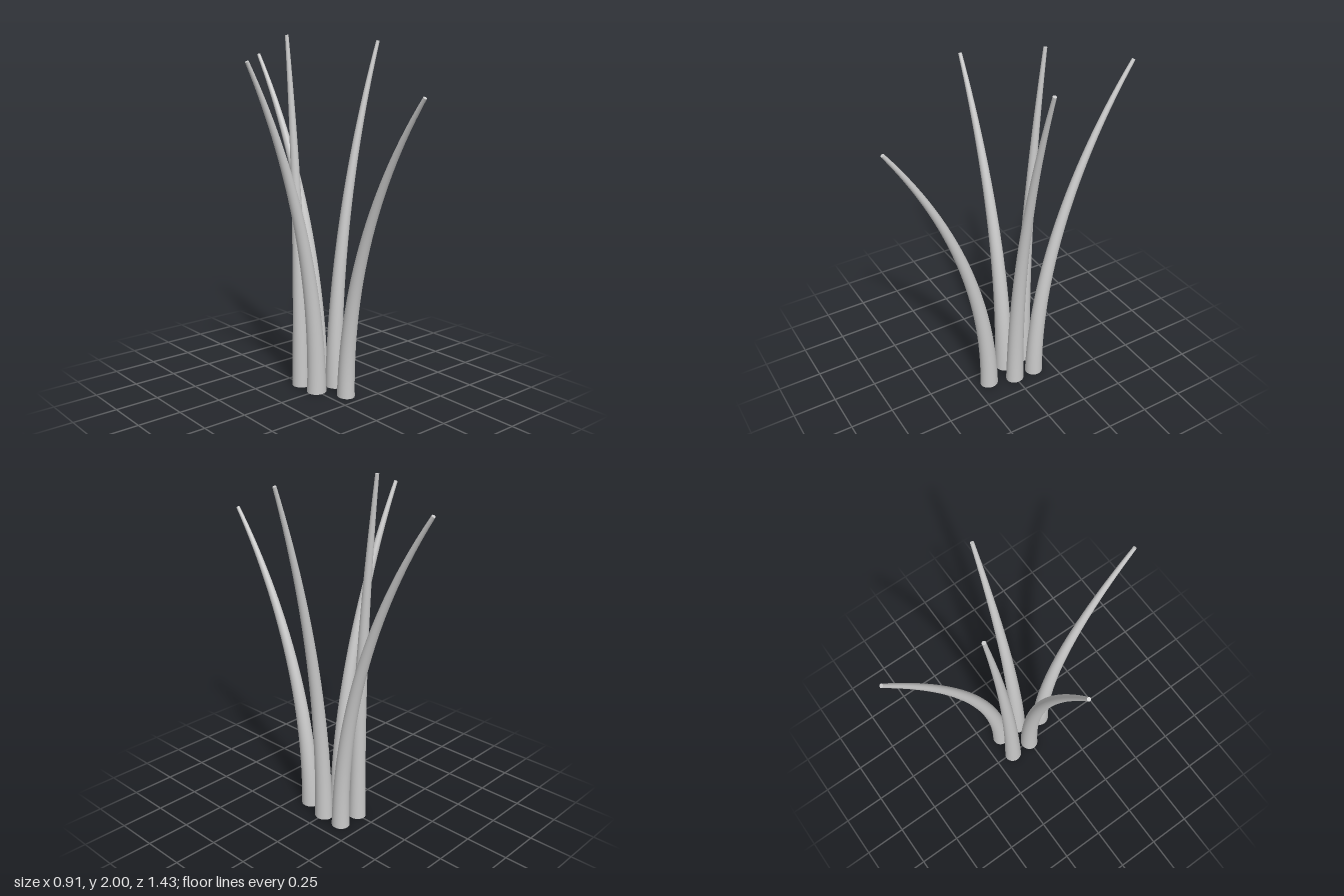
import * as THREE from 'three';

const material = new THREE.MeshStandardMaterial({ color: 0xcccccc });
const TIP = 0.01;

// Tapered stem, flat at the base, bent along a circular arc towards +x.
// reach and height locate the tip; along and across are the base radii.
function bentStem(reach, height, along, across) {
  const R = (reach * reach + height * height) / (2 * reach);
  const arc = Math.asin(height / R);
  const geo = new THREE.CylinderGeometry(1, 1, 1, 24, 28).translate(0, 0.5, 0);
  const pos = geo.attributes.position;
  const nor = geo.attributes.normal;
  const p = new THREE.Vector3();
  const n = new THREE.Vector3();
  const axis = new THREE.Vector3(0, 0, 1);
  for (let i = 0; i < pos.count; i++) {
    p.fromBufferAttribute(pos, i);
    n.fromBufferAttribute(nor, i).applyAxisAngle(axis, -arc * p.y);
    const a = arc * p.y;
    const u = p.x * THREE.MathUtils.lerp(along, TIP, p.y);
    const w = p.z * THREE.MathUtils.lerp(across, TIP, p.y);
    pos.setXYZ(i, R - (R - u) * Math.cos(a), (R - u) * Math.sin(a), w);
    nor.setXYZ(i, n.x, n.y, n.z);
  }
  return geo;
}

export function createModel() {
  const group = new THREE.Group();
  group.name = 'grassTuft';

  // name, base x, base z, turn about y, reach, tip height, radius along, radius across
  const stems = [
    ['rightStem', 0.003, 0, Math.PI, 0.449, 1.868, 0.057, 0.054],
    ['leftStem', 0.133, 0, 0, 0.313, 1.968, 0.048, 0.054],
    ['backUprightStem', -0.006, -0.135, Math.PI / 2, 0.112, 1.999, 0.053, 0.049],
    ['backStem', 0.133, -0.134, Math.PI / 2, 0.572, 1.888, 0.053, 0.049],
    ['frontStem', 0.09, 0.154, -Math.PI / 2, 0.552, 1.702, 0.054, 0.048],
  ];
  for (const [name, x, z, turn, reach, height, along, across] of stems) {
    const stem = new THREE.Mesh(bentStem(reach, height, along, across), material);
    stem.name = name;
    stem.position.set(x, 0, z);
    stem.rotation.y = turn;
    group.add(stem);
  }
  return group;
}
